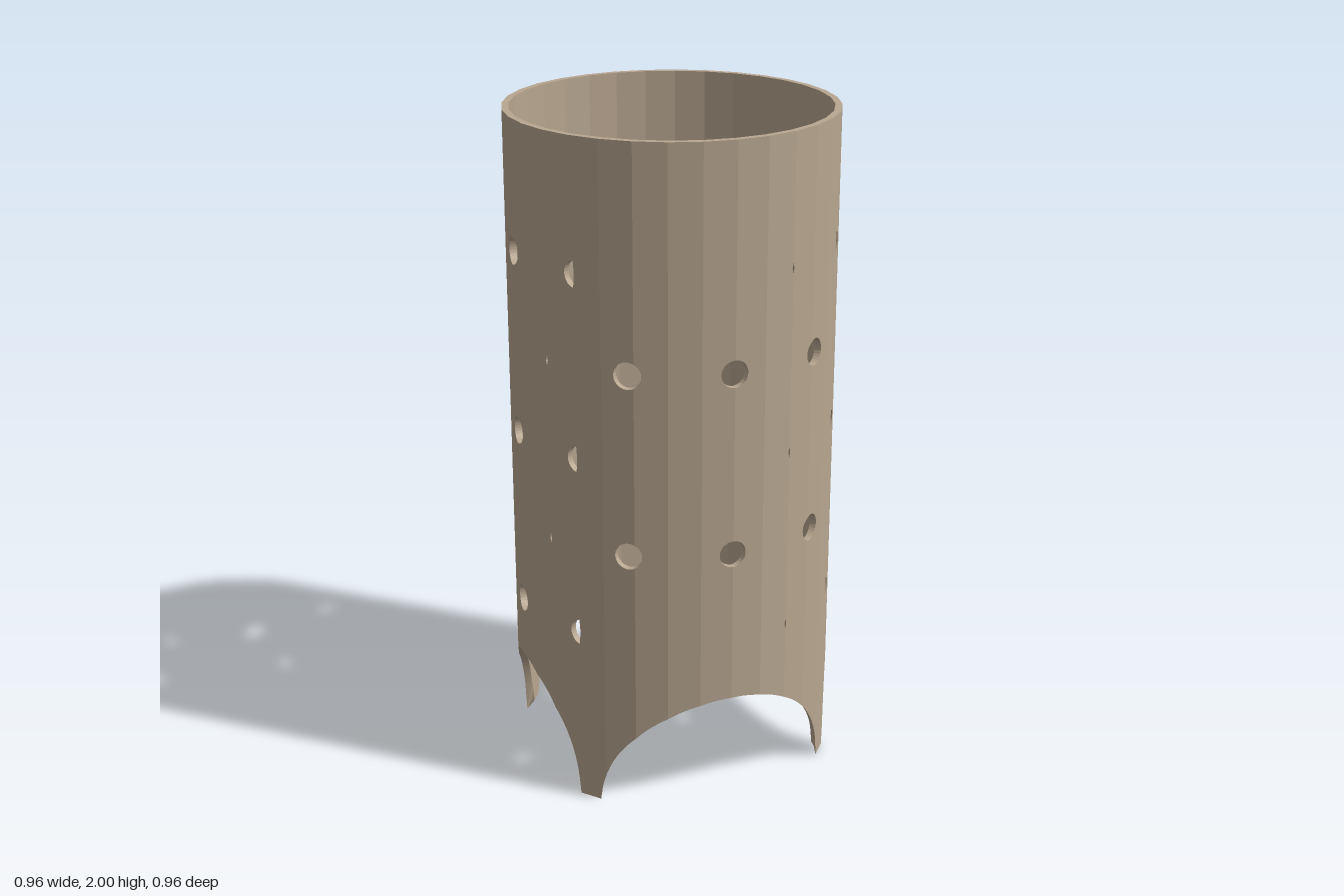
import * as THREE from 'three';

const SIDES = 32, STEP = (2 * Math.PI) / SIDES, TAU = 2 * Math.PI;
const OUTER = 0.48, INNER = 0.46, HEIGHT = 2;
const ARCH_HEIGHT = 0.35, ARCH_X = 0.35, ARCH_Z = 0.27; // half widths of the two arch cuts
const rad = THREE.MathUtils.degToRad;

// Opening profiles: [sideways offset, half height], left to right
const disc = (radius, from = 0, to = 14) => {
  const points = [];
  for (let k = from; k <= to; k++) {
    const a = (Math.PI * k) / 14;
    points.push([-radius * Math.cos(a), radius * Math.sin(a)]);
  }
  return points;
};
const ROUND = disc(0.04);
const HALF_RIGHT = [[0.006, 0], ...disc(0.04, 8)];
const HALF_LEFT = HALF_RIGHT.map(([t, h]) => [-t, h]).reverse();
const SLIT = [[-0.004, 0], [0, 0.016], [0.004, 0]];

// Openings of one row: profile and angles (0 = front, 90 = +x)
const ring = (...groups) => groups.flatMap(([profile, angles]) =>
  angles.map((deg) => ({
    centre: rad(deg),
    points: profile.map(([t, h]) => [Math.asin(t / OUTER), Math.max(h, 0)]),
  })));
const frontRow = ring([ROUND, [0, 36, 144, 180, 216, 324]], [SLIT, [112.5, 292.5]]);
const sideRow = ring([ROUND, [90, 270]], [HALF_RIGHT, [54, 234]],
  [HALF_LEFT, [126, 306]], [SLIT, [22.5, 202.5]]);
const ROWS = [[0.54, sideRow], [0.81, frontRow], [1.08, sideRow], [1.35, frontRow], [1.62, sideRow]];

// Half height of a row's opening at an angle
function openingAt(row, u) {
  for (const { centre, points } of row) {
    let d = (u - centre) % TAU;
    if (d > Math.PI) d -= TAU;
    if (d < -Math.PI) d += TAU;
    for (let i = 1; i < points.length; i++) {
      const [d0, h0] = points[i - 1], [d1, h1] = points[i];
      if (d >= d0 && d <= d1) {
        const h = h0 + ((h1 - h0) * (d - d0)) / (d1 - d0);
        return h < 1e-5 ? 0 : h;
      }
    }
  }
  return 0;
}

// Point on the many-sided wall
function wallPoint(u, radius, y) {
  const local = u - (Math.floor(u / STEP + 1e-9) + 0.5) * STEP;
  const r = (radius * Math.cos(STEP / 2)) / Math.cos(local);
  return [r * Math.sin(u), y, r * Math.cos(u)];
}

// Height of the lower edge, where the arches leave four legs
function floorAt(u, radius) {
  const [x, , z] = wallPoint(u, radius, 0);
  const arch = (s) => ARCH_HEIGHT * Math.sqrt(Math.max(0, 1 - s * s));
  return Math.max(arch(x / ARCH_X), arch(z / ARCH_Z));
}

// Angles at which the wall is divided into columns
function columnAngles() {
  const angles = [0, TAU];
  for (let i = 0; i < SIDES; i++) angles.push(i * STEP);
  for (const row of [frontRow, sideRow])
    for (const { centre, points } of row)
      for (const [d] of points) angles.push((centre + d + TAU) % TAU);
  for (const radius of [OUTER, INNER])
    for (let k = 0; k <= 24; k++) {
      const s = Math.sin((Math.PI / 2) * (k / 24));
      const a = Math.asin((ARCH_X * s) / radius), b = Math.acos((ARCH_Z * s) / radius);
      for (const v of [a, b]) angles.push(v, Math.PI - v, Math.PI + v, TAU - v);
    }
  angles.sort((p, q) => p - q);
  return angles.filter((v, i) => i === 0 || v - angles[i - 1] > 1e-6);
}

function sleeveGeometry() {
  const positions = [];
  const quad = (a, b, c, d) => positions.push(...a, ...b, ...c, ...a, ...c, ...d);
  const angles = columnAngles();

  for (let i = 0; i + 1 < angles.length; i++) {
    const ends = [angles[i], angles[i + 1]];
    const holes = ROWS.map(([, row]) => ends.map((u) => openingAt(row, u)));

    // Solid pieces between one opening and the next
    for (let s = 0; s <= ROWS.length; s++) {
      const edge = (radius, top) => ends.map((u, e) => {
        let y;
        if (top) y = s < ROWS.length ? ROWS[s][0] - holes[s][e] : HEIGHT;
        else y = s > 0 ? ROWS[s - 1][0] + holes[s - 1][e] : floorAt(u, radius);
        // stay on this column's facet at its right-hand end
        return wallPoint(u, radius, y);
      });
      const [oa, ob] = edge(OUTER, false), [od, oc] = edge(OUTER, true);
      const [ia, ib] = edge(INNER, false), [id, ic] = edge(INNER, true);
      quad(oa, ob, oc, od);
      quad(ib, ia, id, ic);
      const open = (k) => holes[k][0] + holes[k][1] > 0;
      if (s === ROWS.length || open(s)) quad(od, oc, ic, id);
      if (s === 0 || open(s - 1)) quad(ia, ib, ob, oa);
    }
  }

  const geometry = new THREE.BufferGeometry();
  geometry.setAttribute('position', new THREE.Float32BufferAttribute(positions, 3));
  geometry.computeVertexNormals();
  return geometry;
}

export function createModel() {
  const model = new THREE.Group();
  model.name = 'perforatedSleeve';
  const material = new THREE.MeshStandardMaterial({ color: 0xb8a690, flatShading: true });
  const sleeve = new THREE.Mesh(sleeveGeometry(), material);
  sleeve.name = 'sleeveWall';
  model.add(sleeve);
  return model;
}
